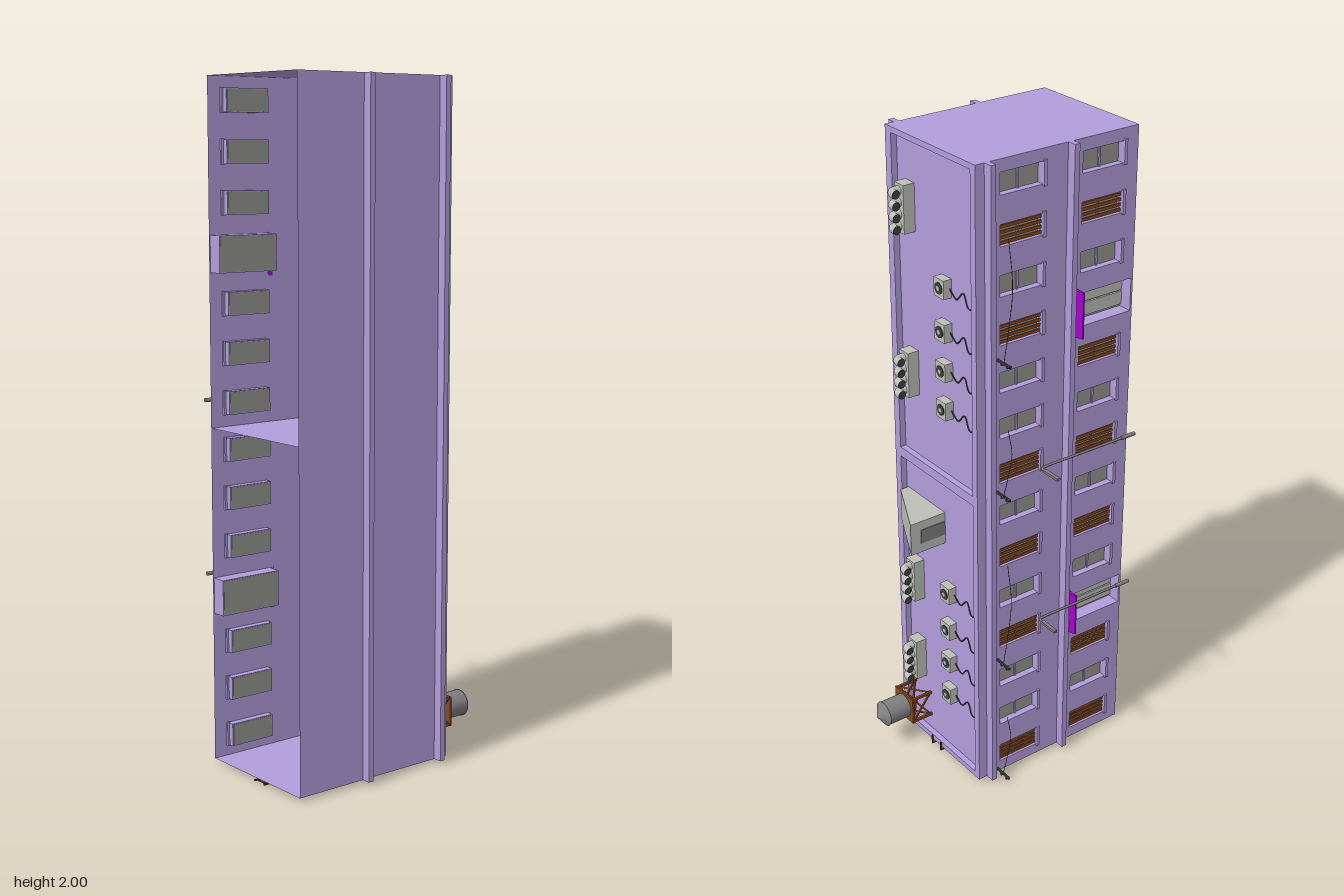
import * as THREE from 'three';

const mat = (color) => new THREE.MeshStandardMaterial({ color, side: THREE.DoubleSide });
const M = {
  wall: mat(0xb39ddb), grey: mat(0xbfbfba), glass: mat(0x96968f), steel: mat(0x808080),
  dark: mat(0x3c4440), wood: mat(0x8b4a1c), awning: mat(0xaa00d4), rust: mat(0x6b2c18),
};
const X0 = -0.155, X1 = 0.257, Z0 = -0.195, Z1 = 0.352, Y0 = 0.015, Y1 = 2, MID = 1.005, DECK = 0.175;

function add(parent, name, geo, material, x = 0, y = 0, z = 0) {
  const m = new THREE.Mesh(geo, material);
  m.name = name;
  m.position.set(x, y, z);
  parent.add(m);
  return m;
}
const box = (p, n, m, w, h, d, x, y, z) => add(p, n, new THREE.BoxGeometry(w, h, d), m, x, y, z);
const cyl = (p, n, m, r0, r1, h, x, y, z, s = 20) => add(p, n, new THREE.CylinderGeometry(r0, r1, h, s), m, x, y, z);
const V = (a) => new THREE.Vector3(...a);
const tube = (p, n, m, pts, r, seg = 16, sides = 8) =>
  add(p, n, new THREE.TubeGeometry(new THREE.CatmullRomCurve3(pts.map(V)), seg, r, sides), m);

// Straight square bar between two points
function bar(p, n, m, a, b, t) {
  const A = V(a), B = V(b);
  const o = box(p, n, m, t, t, A.distanceTo(B), 0, 0, 0);
  o.position.copy(A).lerp(B, 0.5);
  o.quaternion.setFromUnitVectors(new THREE.Vector3(0, 0, 1), B.clone().sub(A).normalize());
}
function rect(T, a0, b0, a1, b1) {
  const s = new T();
  s.moveTo(a0, b0); s.lineTo(a1, b0); s.lineTo(a1, b1); s.lineTo(a0, b1); s.closePath();
  return s;
}

// Openings of the facade: z range, y range, recess depth
function openings() {
  const list = [];
  for (let b = 0; b < 2; b++) for (let i = -3; i <= 3; i++) {
    const y = 0.51 + b * 0.994 + i * 0.143;
    list.push({ z0: -0.115, z1: 0.025, y, hy: 0.031, d: 0.022, id: i + 3, row: 0 });
    if (i === 0) list.push({ z0: 0.15, z1: 0.345, y, hy: 0.05, d: 0.045, door: true });
    else list.push({ z0: 0.16, z1: 0.3, y, hy: 0.031, d: 0.022, id: i + 3, row: 1 });
  }
  return list;
}

function opening(parent, o) {
  const g = new THREE.Group();
  g.name = o.door ? 'entrance' : 'window';
  parent.add(g);
  const zc = (o.z0 + o.z1) / 2, h = o.z1 - o.z0, t = 0.003;
  // recess lining
  const ring = rect(THREE.Shape, o.z0 - t, o.y - o.hy - t, o.z1 + t, o.y + o.hy + t);
  ring.holes.push(rect(THREE.Path, o.z0, o.y - o.hy, o.z1, o.y + o.hy));
  const geo = new THREE.ExtrudeGeometry(ring, { depth: o.d, bevelEnabled: false }).rotateY(-Math.PI / 2);
  add(g, 'recess', geo, M.wall, X0 + o.d, 0, 0);
  box(g, o.door ? 'doorPanel' : 'pane', M.glass, 0.002, o.hy * 2, h, X0 + o.d, o.y, zc);
  if (o.door) {
    for (const s of [-1, 1]) box(g, 'doorLeaf', M.grey, 0.006, 0.04, 0.14, X0 + o.d - 0.004, o.y + s * 0.022, o.z1 - 0.07);
    // wedge awning
    const s = new THREE.Shape([[X0, 0.13], [-0.192, 0.143], [-0.192, 0.147], [X0, 0.147]].map((p) => new THREE.Vector2(p[0], -p[1])));
    const a = new THREE.ExtrudeGeometry(s, { depth: 0.14, bevelEnabled: false }).rotateX(-Math.PI / 2);
    a.rotateX(Math.PI);
    // extrusion runs along y, profile in x-z
    a.computeBoundingBox();
    const bb = a.boundingBox;
    if (bb.max.z < 0) a.rotateX(Math.PI);
    a.computeBoundingBox();
    add(g, 'awning', a, M.awning, 0, o.y - (a.boundingBox.min.y + a.boundingBox.max.y) / 2, 0);
    return;
  }
  box(g, 'crossRail', M.wall, 0.005, o.hy * 2, 0.006, X0 + o.d - 0.003, o.y, zc);
  box(g, 'sill', M.wall, 0.012, 0.072, 0.01, X0, o.y, o.z1 + 0.005);
  // some windows are boarded up
  if ((o.id * 3 + o.row) % 7 < 3) for (let k = 0; k < 4; k++)
    box(g, 'board', M.wood, 0.004, 0.009, h, X0 + 0.006, o.y + (k - 1.5) * 0.015, zc);
}

// Row of four bent pipes on a plinth (roof space: x, height, position along the building)
function ventBank(roof, d) {
  const g = new THREE.Group();
  g.name = 'ventBank';
  g.position.set(0.172, 0, d);
  roof.add(g);
  box(g, 'plinth', M.grey, 0.044, 0.045, 0.14, 0, 0.19, 0);
  for (let i = 0; i < 4; i++) {
    const z = (i - 1.5) * 0.034;
    tube(g, 'bentPipe', M.grey, [[0, 0.205, z], [0, 0.225, z], [-0.005, 0.236, z], [-0.015, 0.239, z], [-0.027, 0.239, z]], 0.013, 14, 14);
    const mouth = cyl(g, 'pipeMouth', M.dark, 0.012, 0.012, 0.002, -0.026, 0.239, z);
    mouth.rotation.z = Math.PI / 2;
  }
}

function airConditioner(roof, d) {
  const g = new THREE.Group();
  g.name = 'airConditioner';
  g.position.set(0.005, 0, d);
  roof.add(g);
  box(g, 'casing', M.grey, 0.046, 0.028, 0.055, 0, DECK + 0.014, 0);
  cyl(g, 'fanGrille', M.dark, 0.017, 0.017, 0.002, 0, 0.204, 0);
  cyl(g, 'fanHub', M.grey, 0.007, 0.007, 0.004, 0, 0.204, 0, 12);
  tube(g, 'cable', M.dark, [[-0.022, 0.182, 0], [-0.05, 0.18, -0.022], [-0.08, 0.178, 0.005], [-0.105, 0.18, -0.03], [-0.14, 0.179, -0.02]], 0.002, 24, 5);
}

function waterTank(roof) {
  const g = new THREE.Group();
  g.name = 'waterTank';
  g.position.set(0.17, 0, 0.13);
  roof.add(g);
  cyl(g, 'tank', M.steel, 0.039, 0.039, 0.077, 0, 0.29, 0, 24);
  cyl(g, 'tankRoof', M.steel, 0, 0.041, 0.028, 0, 0.342, 0, 24);
  box(g, 'platform', M.wood, 0.098, 0.006, 0.09, 0, 0.249, 0);
  const c = [[-1, -1], [1, -1], [1, 1], [-1, 1]];
  c.forEach(([x, z], i) => {
    const [u, w] = c[(i + 1) % 4], q = 0.042;
    bar(g, 'standLeg', M.wood, [x * q, 0.17, z * q], [x * q, 0.248, z * q], 0.008);
    bar(g, 'standBrace', M.wood, [x * q, 0.18, z * q], [u * q, 0.244, w * q], 0.005);
    bar(g, 'standBrace', M.wood, [x * q, 0.244, z * q], [u * q, 0.18, w * q], 0.005);
  });
}

export function createModel() {
  const root = new THREE.Group();
  root.name = 'buildingBlock';
  const zc = (Z0 + Z1) / 2, D = Z1 - Z0, xc = (X0 + X1) / 2, W = X1 - X0, yc = (Y0 + Y1) / 2;

  // Shell, open towards +z
  const list = openings();
  const facade = rect(THREE.Shape, Z0, Y0, Z1, Y1);
  for (const o of list) facade.holes.push(rect(THREE.Path, o.z0, o.y - o.hy, o.z1, o.y + o.hy));
  add(root, 'windowWall', new THREE.ShapeGeometry(facade).rotateY(-Math.PI / 2), M.wall, X0, 0, 0);
  add(root, 'plainWall', new THREE.PlaneGeometry(D, Y1 - Y0).rotateY(Math.PI / 2), M.wall, X1, yc, zc);
  for (const y of [Y0, MID, Y1])
    add(root, 'endWall', new THREE.PlaneGeometry(W, D).rotateX(y === Y0 ? Math.PI / 2 : -Math.PI / 2), M.wall, xc, y, zc);
  for (const o of list) opening(root, o);

  // Cornices along both long sides
  for (const z of [-0.157, 0.117]) for (const x of [X0 - 0.014, X1 + 0.013])
    box(root, 'cornice', M.wall, 0.028, Y1 - Y0, 0.017, x, yc, z);

  // Parapet and roof decks
  const par = rect(THREE.Shape, X0, Y0, X1, Y1);
  for (const [a, b] of [[0.033, 0.99], [1.02, 1.983]]) {
    par.holes.push(rect(THREE.Path, -0.133, a, 0.23, b));
    box(root, 'roofDeck', M.wall, 0.365, b - a + 0.002, 0.002, 0.0485, (a + b) / 2, -DECK);
  }
  add(root, 'parapet', new THREE.ExtrudeGeometry(par, { depth: 0.021, bevelEnabled: false }), M.wall, 0, 0, Z0);

  // Roof equipment, with local y pointing out of the roof
  const roof = new THREE.Group();
  roof.name = 'roofEquipment';
  roof.rotation.x = -Math.PI / 2;
  root.add(roof);
  for (const d of [0.295, 0.588, 1.29, 1.79]) ventBank(roof, d);
  for (const b of [0, 0.99]) for (const d of [0.25, 0.37, 0.49, 0.62]) airConditioner(roof, d + b);
  waterTank(roof);
  const hut = new THREE.Shape([[0.033, 0.172], [0.222, 0.172], [0.222, 0.205], [0.033, 0.298]].map((p) => new THREE.Vector2(...p)));
  add(roof, 'stairHut', new THREE.ExtrudeGeometry(hut, { depth: 0.104, bevelEnabled: false }), M.grey, 0, 0, 0.777);
  box(roof, 'hutDoor', M.steel, 0.003, 0.085, 0.045, 0.032, 0.22, 0.83);

  // Ladder on the lower end wall, hooked over the parapet
  for (const x of [0.045, 0.09]) {
    box(root, 'ladderRail', M.rust, 0.004, 0.005, 0.555, x, 0.006, 0.076);
    box(root, 'ladderHook', M.rust, 0.004, 0.032, 0.005, x, 0.02, -0.2);
  }
  for (let i = 0; i < 24; i++) box(root, 'ladderRung', M.rust, 0.045, 0.004, 0.004, 0.0675, 0.006, -0.185 + i * 0.023);

  // Street lamps
  for (const y of [0.565, 1.08]) {
    cyl(root, 'lampBase', M.steel, 0.006, 0.006, 0.05, -0.203, y, 0.315, 12).rotation.x = Math.PI / 2;
    tube(root, 'lampPole', M.steel, [[-0.203, y, 0.3], [-0.203, y, 0.15], [-0.203, y, 0.005], [-0.206, y, -0.005], [-0.215, y, -0.008], [-0.25, y, -0.008]], 0.004, 40);
    box(root, 'lampHead', M.steel, 0.065, 0.008, 0.011, -0.2525, y, -0.008);
  }

  // Wire brackets and slack wires on the window wall
  for (const [y, len] of [[0.025, 0.23], [0.44, 0.36], [1.02, 0.22], [1.435, 0.365]]) {
    box(root, 'wireBracket', M.dark, 0.062, 0.007, 0.005, -0.186, y, -0.125);
    for (const x of [-0.21, -0.185]) cyl(root, 'insulator', M.dark, 0.004, 0.004, 0.012, x, y, -0.128, 10).rotation.x = Math.PI / 2;
    tube(root, 'slackWire', M.dark, [[-0.205, y + len, -0.125], [-0.195, y + len * 0.6, -0.104], [-0.183, y + len * 0.25, -0.108], [-0.185, y, -0.125]], 0.001, 20, 5);
  }
  return root;
}
